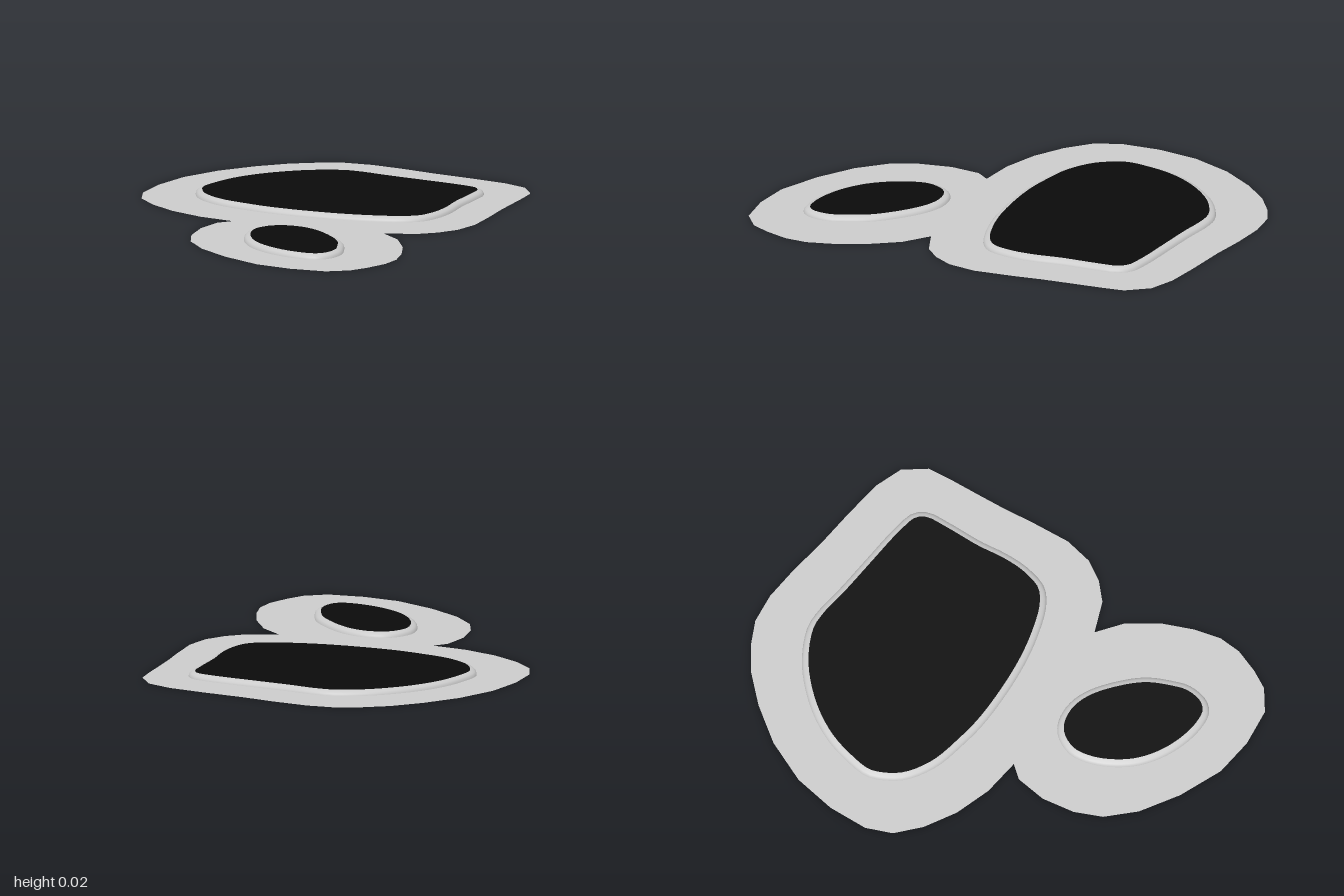
import * as THREE from 'three';

const grey = new THREE.MeshStandardMaterial({ color: 0xcccccc, side: THREE.DoubleSide });
const black = new THREE.MeshStandardMaterial({ color: 0x0a0a0a, side: THREE.DoubleSide });

// Outlines seen from above as x, z pairs
const BASE = [
  -.13, -1, -.01, -.99, .13, -.95, .27, -.9, .44, -.85, .59, -.8, .69, -.74, .74, -.64, .735, -.55,
  .72, -.4, .71, -.29, .705, -.18, .69, -.01, .65, .1, .59, .17, .515, .22, .385, .245, .47, .34,
  .53, .475, .56, .6, .57, .71, .55, .8, .5, .89, .45, .955, .36, 1, .21, .99, .06, .945,
  -.1, .84, -.23, .72, -.31, .6, -.34, .485, -.34, .35, -.305, .23, -.255, .185, -.4, .14,
  -.535, .065, -.645, -.03, -.72, -.13, -.745, -.24, -.725, -.4, -.67, -.565, -.57, -.72,
  -.45, -.84, -.335, -.925, -.225, -.975,
];
const LARGE = [
  -.07, -.8, .01, -.79, .135, -.75, .295, -.705, .45, -.66, .54, -.62, .57, -.565, .565, -.475,
  .545, -.32, .54, -.21, .52, -.105, .475, -.015, .405, .025, .295, .045, .16, .05, 0, .035,
  -.155, .005, -.26, -.03, -.395, -.09, -.495, -.18, -.535, -.265, -.545, -.33, -.52, -.42,
  -.475, -.52, -.405, -.615, -.31, -.7, -.2, -.765,
];
const SMALL = [
  .025, .27, -.035, .275, -.085, .305, -.125, .37, -.13, .44, -.11, .53, -.06, .63, .015, .71,
  .11, .77, .2, .8, .265, .8, .31, .765, .335, .685, .325, .61, .295, .51, .23, .41, .15, .325,
  .085, .285,
];

// Rim cross-section: inset from the outline, height
const RIM = [[0, 0], [.002, .008], [.008, .014], [.016, .018], [.026, .021]];

// Counter-clockwise 2D points (y = -z)
function outline(pairs) {
  const pts = [];
  for (let i = 0; i < pairs.length; i += 2) pts.push(new THREE.Vector2(pairs[i], -pairs[i + 1]));
  return THREE.ShapeUtils.isClockWise(pts) ? pts.reverse() : pts;
}

function smoothLoop(pts, count) {
  const curve = new THREE.CatmullRomCurve3(pts.map((p) => new THREE.Vector3(p.x, p.y, 0)), true);
  return curve.getSpacedPoints(count).slice(0, count).map((p) => new THREE.Vector2(p.x, p.y));
}

function inset(pts, d) {
  const n = pts.length;
  return pts.map((p, i) => {
    const t = pts[(i + 1) % n].clone().sub(pts[(i + n - 1) % n]).normalize();
    return new THREE.Vector2(p.x - t.y * d, p.y + t.x * d);
  });
}

function flatSheet(pts, holes, y, material, name) {
  const shape = new THREE.Shape(pts);
  shape.holes = holes.map((h) => new THREE.Path(h));
  const geo = new THREE.ShapeGeometry(shape).rotateX(-Math.PI / 2).translate(0, y, 0);
  const mesh = new THREE.Mesh(geo, material);
  mesh.name = name;
  return mesh;
}

// Rounded wall lofted through the inset loops
function rim(pts, name) {
  const n = pts.length, pos = [], index = [];
  RIM.forEach(([d, y], r) => {
    inset(pts, d).forEach((p, i) => {
      pos.push(p.x, y, -p.y);
      if (r === RIM.length - 1) return;
      const a = r * n + i, b = r * n + (i + 1) % n;
      index.push(a, b, a + n, b, b + n, a + n);
    });
  });
  const geo = new THREE.BufferGeometry();
  geo.setAttribute('position', new THREE.Float32BufferAttribute(pos, 3));
  geo.setIndex(index);
  geo.computeVertexNormals();
  const mesh = new THREE.Mesh(geo, grey);
  mesh.name = name;
  return mesh;
}

export function createModel() {
  const model = new THREE.Group();
  model.name = 'flatPatch';
  const loops = { large: smoothLoop(outline(LARGE), 96), small: smoothLoop(outline(SMALL), 64) };

  // Flat surround, open beneath each raised pool
  model.add(flatSheet(outline(BASE), Object.values(loops), 0, grey, 'surround'));

  // Raised pools: rounded grey rim and black top
  const [topInset, topHeight] = RIM[RIM.length - 1];
  for (const [size, pts] of Object.entries(loops)) {
    const pool = new THREE.Group();
    pool.name = size + 'Pool';
    pool.add(rim(pts, size + 'Rim'));
    pool.add(flatSheet(inset(pts, topInset), [], topHeight, black, size + 'Top'));
    model.add(pool);
  }
  return model;
}
